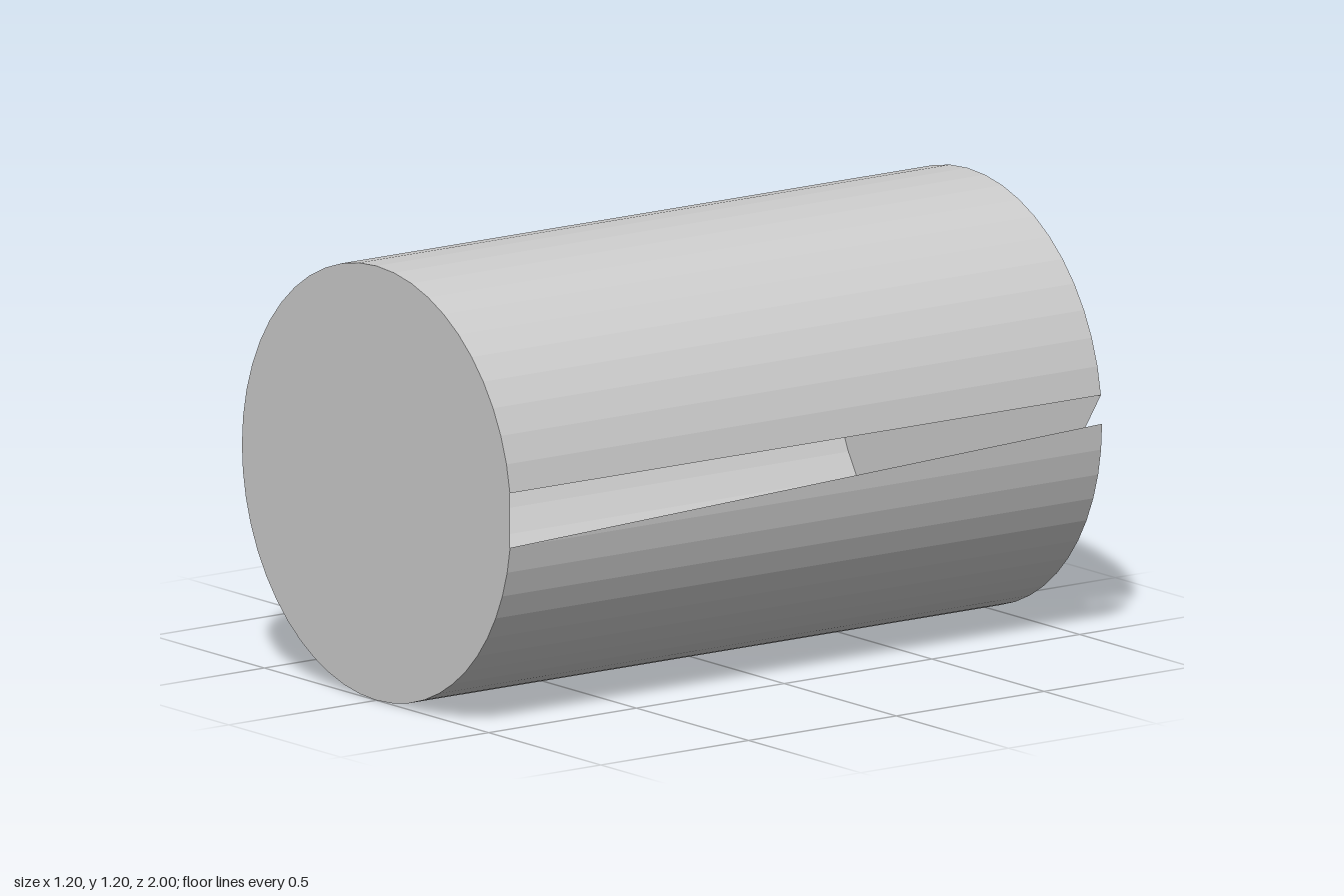
import * as THREE from 'three';

const R = 0.6, HALF = 1, UPPER = 24, LOWER = 26, N = UPPER + LOWER;

// Ring point i, counter-clockwise from +x (upper half, then lower half)
function ringPoint(i, z) {
  const k = i % N;
  const a = k <= UPPER ? (k / UPPER) * Math.PI : Math.PI * (1 + (k - UPPER) / LOWER);
  return [R * Math.cos(a), R + R * Math.sin(a), z];
}
const front = (i) => ringPoint(i, HALF);
const back = (i) => ringPoint(i, -HALF);

function addMesh(group, name, triangles) {
  const geometry = new THREE.BufferGeometry();
  geometry.setAttribute('position', new THREE.Float32BufferAttribute(triangles.flat(2), 3));
  geometry.computeVertexNormals();
  const mesh = new THREE.Mesh(geometry, new THREE.MeshStandardMaterial({
    color: 0xcccccc, flatShading: true, side: THREE.DoubleSide,
  }));
  mesh.name = name;
  group.add(mesh);
}

// Flat fan over ring points from..to
function fan(point, from, to, flip) {
  const triangles = [];
  for (let i = from + 1; i < to; i++) {
    triangles.push(flip
      ? [point(from), point(i + 1), point(i)]
      : [point(from), point(i), point(i + 1)]);
  }
  return triangles;
}

export function createModel() {
  const group = new THREE.Group();
  group.name = 'hollowDrum';

  // Thin wall, left open along a tapering slot on the +x side
  const wall = [];
  for (let i = 1; i < N - 1; i++) {
    wall.push([front(i), back(i), back(i + 1)], [front(i), back(i + 1), front(i + 1)]);
  }
  wall.push([front(N - 1), back(N - 1), back(N)]);
  addMesh(group, 'slottedWall', wall);

  // Front end, cut straight across the slot
  addMesh(group, 'frontEnd', fan(front, 1, N - 1, false));

  // Back end in two pieces with a narrow wedge open between them
  const hinge = N - 11;
  addMesh(group, 'backEnd', fan(back, 1, hinge, true));
  addMesh(group, 'backEndSegment', fan(back, hinge, N, true));

  return group;
}
